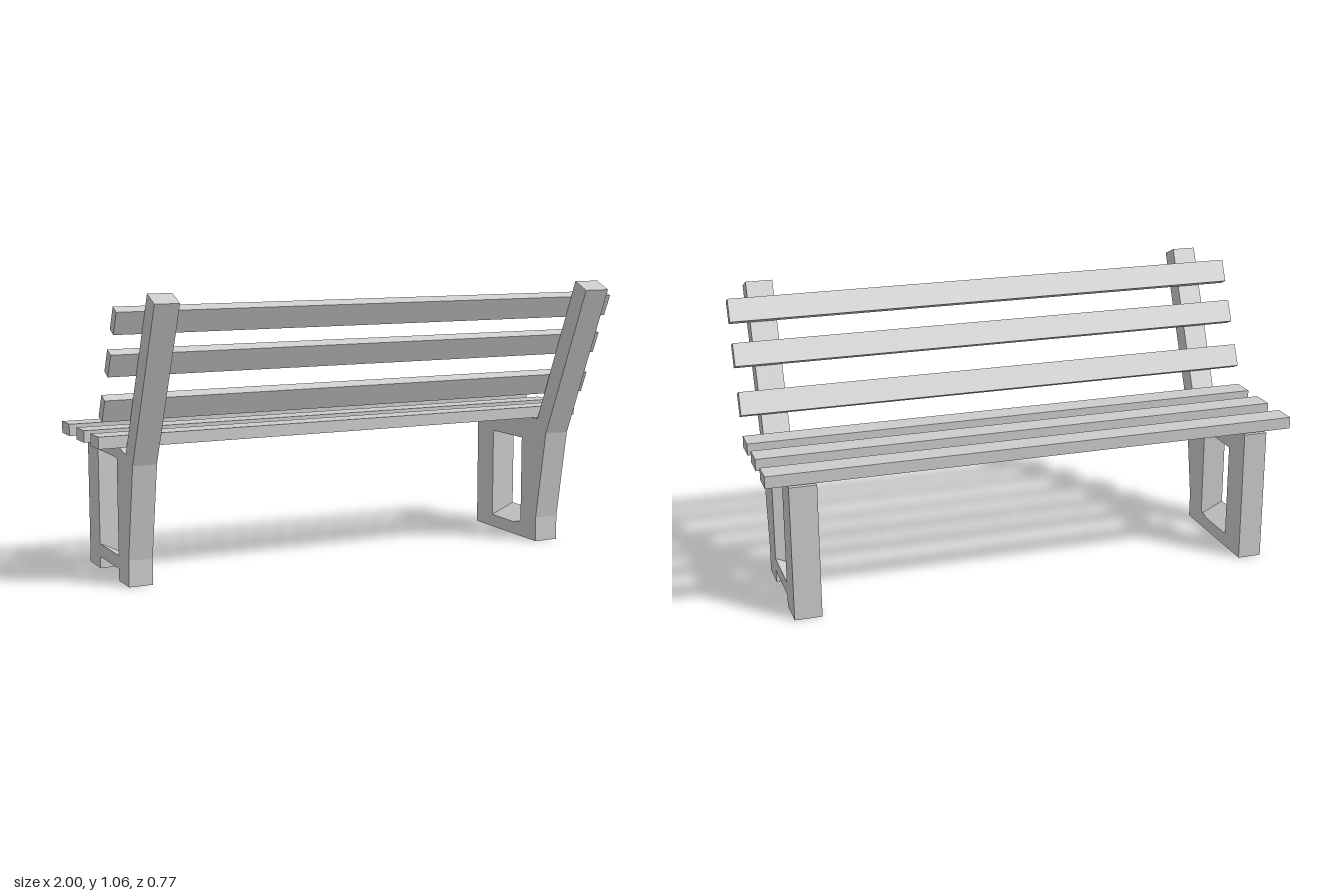
import * as THREE from 'three';

const material = new THREE.MeshStandardMaterial({ color: 0xcccccc, flatShading: true });

// Side frame: profile in (z, y); the rail undersides and window slope down towards the inner face
function sideFrame(outerX, innerX) {
  const zFront = -0.042, zBack = -0.261, drop = 0.044;
  const shape = new THREE.Shape([
    [0.07, 0], [0.07, 0.097], [0.133, 0.449], [0.388, 1.031], [0.316, 1.062],
    [0.06, 0.48], [-0.04, 0.5], [-0.385, 0.5], [-0.385, 0],
    [zBack, 0], [zBack, drop], [zFront, drop], [zFront, 0],
  ].map(([z, y]) => new THREE.Vector2(z, y)));
  shape.holes.push(new THREE.Path([
    [zFront, 0.094], [zFront, 0.453], [zBack, 0.453], [zBack, 0.094],
  ].map(([z, y]) => new THREE.Vector2(z, y))));

  const geo = new THREE.ExtrudeGeometry(shape, { depth: Math.abs(outerX - innerX), bevelEnabled: false });
  geo.rotateY(-Math.PI / 2);
  geo.translate(Math.max(outerX, innerX), 0, 0);

  // Shear the openings on the inner face and lift the seat corner to form a flat ledge
  const p = geo.attributes.position;
  for (let i = 0; i < p.count; i++) {
    if (Math.abs(p.getX(i) - innerX) > 0.001) continue;
    const y = p.getY(i), z = p.getZ(i);
    const onOpening = Math.abs(z - zFront) < 0.001 || Math.abs(z - zBack) < 0.001;
    if (onOpening && y > 0.01 && y < 0.46) p.setY(i, y - drop);
    if (Math.abs(y - 0.48) < 0.001) p.setXYZ(i, p.getX(i), 0.5, 0.07);
  }
  geo.computeVertexNormals();
  return new THREE.Mesh(geo, material);
}

export function createModel() {
  const bench = new THREE.Group();
  bench.name = 'bench';

  const leftFrame = sideFrame(0.92, 0.82);
  leftFrame.name = 'leftSideFrame';
  const rightFrame = sideFrame(-0.9, -0.81);
  rightFrame.name = 'rightSideFrame';
  bench.add(leftFrame, rightFrame);

  // Seat slats
  [0.016, -0.153, -0.334].forEach((z, i) => {
    const slat = new THREE.Mesh(new THREE.BoxGeometry(2, 0.044, 0.092), material);
    slat.position.set(0, 0.527, z);
    slat.name = `seatSlat${i + 1}`;
    bench.add(slat);
  });

  // Backrest slats, leaning with the posts
  [[0.655, 0.109], [0.82, 0.185], [0.97, 0.255]].forEach(([y, z], i) => {
    const slat = new THREE.Mesh(new THREE.BoxGeometry(2, 0.087, 0.04), material);
    slat.position.set(0, y, z);
    slat.rotation.x = 0.43;
    slat.name = `backSlat${i + 1}`;
    bench.add(slat);
  });

  return bench;
}
